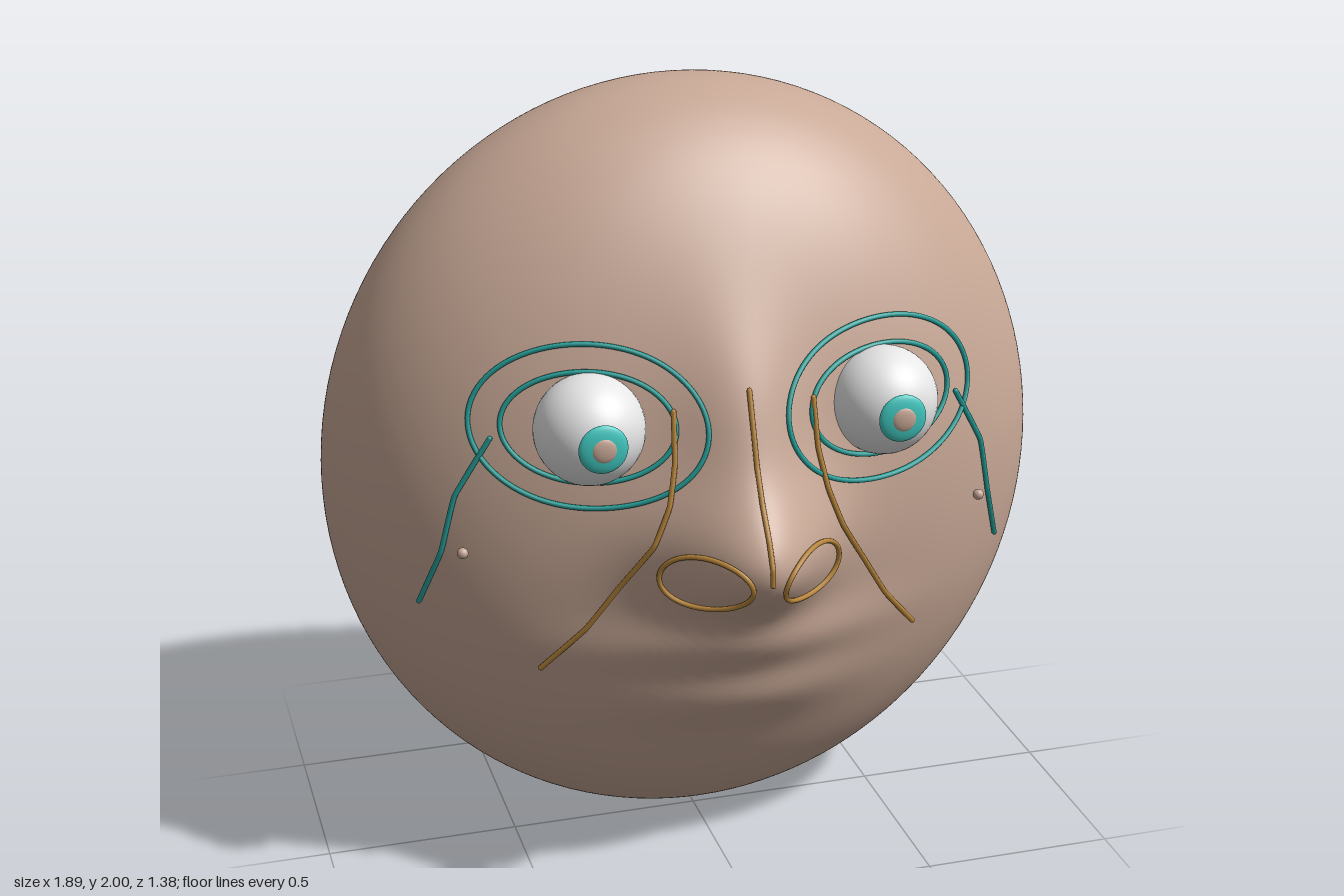
import * as THREE from 'three';
import { mergeVertices } from 'three/addons/utils/BufferGeometryUtils.js';

const RX = 0.945, RY = 1, RZ = 0.57, CY = 1, CZ = -0.12;

const bell = (x, y, cx, cy, sx, sy) =>
  Math.exp(-0.5 * (((x - cx) / sx) ** 2 + ((y - cy) / sy) ** 2));

// forward relief of the face: nose tip, nose bridge, upper and lower lip
const relief = (x, y) =>
  0.2 * bell(x, y, 0, 0.95, 0.145, 0.125) +
  0.07 * bell(x, y, 0, 1.25, 0.1, 0.18) +
  0.05 * bell(x, y, 0, 0.69, 0.22, 0.055) +
  0.045 * bell(x, y, 0, 0.53, 0.2, 0.07);

// height of the face surface at a point seen from the front
const faceZ = (x, y) =>
  CZ + RZ * Math.sqrt(Math.max(0, 1 - (x / RX) ** 2 - ((y - CY) / RY) ** 2)) + relief(x, y);

const onFace = (x, y, lift = 0.008) => new THREE.Vector3(x, y, faceZ(x, y) + lift);

export function createModel() {
  const group = new THREE.Group();
  const material = (name, color) => {
    const m = new THREE.MeshStandardMaterial({ color });
    m.name = name;
    return m;
  };
  const skin = material('skin', 0xc8a896);
  const white = material('eye white', 0xe6e6e6);
  const teal = material('iris teal', 0x40c8c0);
  const lineTeal = material('line teal', 0x25a09a);
  const gold = material('line gold', 0xb8863c);

  const add = (name, geometry, mat, x = 0, y = 0, z = 0) => {
    const mesh = new THREE.Mesh(geometry, mat);
    mesh.name = name;
    mesh.position.set(x, y, z);
    group.add(mesh);
    return mesh;
  };

  // head: flattened ball, densest at the face, pushed forward by the relief
  let head = new THREE.SphereGeometry(1, 128, 128).rotateX(Math.PI / 2);
  head.deleteAttribute('uv');
  head.deleteAttribute('normal');
  head = mergeVertices(head, 1e-5);
  const p = head.attributes.position;
  for (let i = 0; i < p.count; i++) {
    const x = p.getX(i) * RX, y = p.getY(i) * RY + CY, dz = p.getZ(i);
    p.setXYZ(i, x, y, CZ + dz * RZ + (dz > 0 ? relief(x, y) : 0));
  }
  head.computeVertexNormals();
  add('head', head, skin);

  // thin lines lying on the face
  const ring = (name, mat, cx, cy, rx, ry) => {
    const pts = [];
    for (let i = 0; i < 40; i++) {
      const a = (i / 40) * Math.PI * 2;
      pts.push(onFace(cx + rx * Math.cos(a), cy + ry * Math.sin(a)));
    }
    const curve = new THREE.CatmullRomCurve3(pts, true);
    add(name, new THREE.TubeGeometry(curve, 96, 0.0065, 8, true), mat);
  };
  const line = (name, mat, points) => {
    const pts = points.map(([x, y]) => onFace(x, y, 0.012));
    const curve = new THREE.CatmullRomCurve3(pts, false, 'catmullrom', 0.15);
    add(name, new THREE.TubeGeometry(curve, 64, 0.007, 8, false), mat);
    for (const end of [pts[0], pts[pts.length - 1]])
      add(name + 'End', new THREE.SphereGeometry(0.007, 8, 6), mat, end.x, end.y, end.z);
  };

  line('noseBridgeLine', gold,
    [[0, 1.37], [0, 1.28], [0, 1.2], [0, 1.12], [0, 1.05], [0, 0.99], [0, 0.95]]);

  for (const s of [1, -1]) {
    const side = s > 0 ? 'left' : 'right';

    // eye with iris and pupil
    add(side + 'Eyeball', new THREE.SphereGeometry(0.135, 40, 28), white, s * 0.37, 1.28, 0.393);
    add(side + 'Iris', new THREE.SphereGeometry(0.06, 32, 16).scale(1, 1, 0.25),
      teal, s * 0.37, 1.28, 0.53);
    add(side + 'Pupil', new THREE.SphereGeometry(0.031, 24, 12).scale(1, 1, 0.3),
      skin, s * 0.37, 1.28, 0.54);

    // lid and socket outlines
    ring(side + 'SocketRing', lineTeal, s * 0.37, 1.28, 0.27, 0.195);
    ring(side + 'LidRing', lineTeal, s * 0.37, 1.28, 0.2, 0.132);

    // nostril outline
    ring(side + 'NostrilRing', gold, s * 0.135, 0.922, 0.094, 0.074);

    // fold from the eye corner past the nose to the mouth
    line(side + 'NoseFold', gold, [[0.175, 1.32], [0.18, 1.2], [0.2, 1.1], [0.24, 1.0],
      [0.315, 0.88], [0.39, 0.76], [0.49, 0.64]].map(([x, y]) => [s * x, y]));

    // cheek line and cheek dot
    line(side + 'CheekLine', lineTeal,
      [[0.595, 1.25], [0.68, 1.1], [0.715, 0.95], [0.765, 0.8]].map(([x, y]) => [s * x, y]));
    add(side + 'CheekDot', new THREE.SphereGeometry(0.014, 16, 12), skin, s * 0.67, 0.96, 0.31);
  }
  return group;
}
